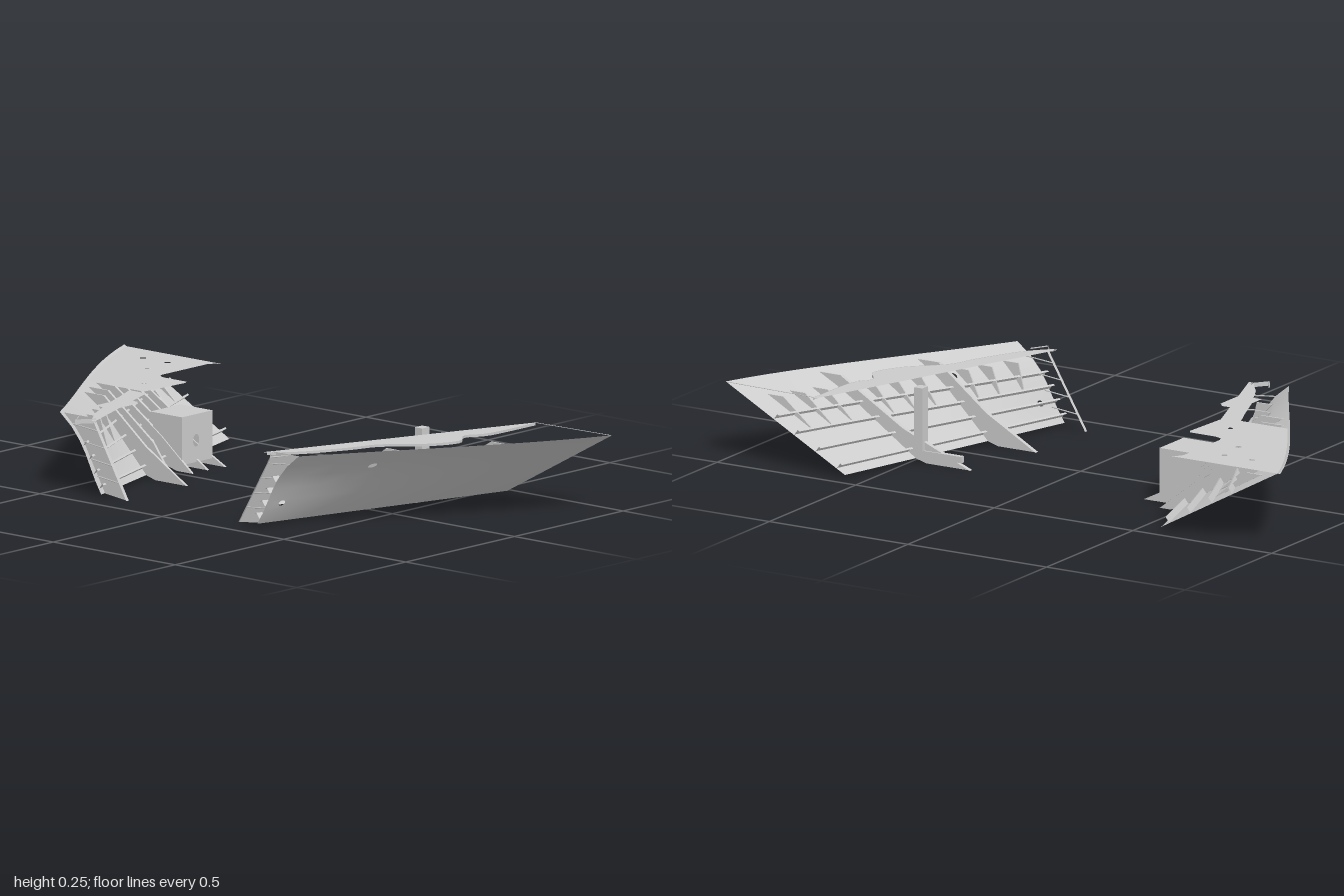
import * as THREE from 'three';
import { mergeGeometries, mergeVertices } from 'three/addons/utils/BufferGeometryUtils.js';

const TOP = 0.245, BOTTOM = 0.01, X0 = -0.42, X1 = 0.45;
const both = new THREE.MeshStandardMaterial({ color: 0xcccccc, side: THREE.DoubleSide });
const single = new THREE.MeshStandardMaterial({ color: 0xcccccc });

// Flared shell: half breadth at a given station and height, hollow towards the narrow end
const along = x => (x - X0) / (X1 - X0);
const topZ = x => 0.49 + 0.51 * along(x) + 0.16 * along(x) ** 2 * (1 - along(x));
const lowZ = x => 0.32 + 0.25 * along(x);
const shellZ = (x, y) => {
  const t = (y - BOTTOM) / (TOP - BOTTOM);
  return THREE.MathUtils.lerp(lowZ(x), topZ(x), t - (1 - along(x)) * t * t * (1 - t));
};
// Inner face of the shell, where the framing lands
const innerZ = (x, y) => shellZ(x, y) - 0.004;

function add(parent, name, geometry, material = both) {
  const mesh = new THREE.Mesh(geometry, material);
  mesh.name = name;
  parent.add(mesh);
  return mesh;
}

function outline(points, holes = []) {
  const shape = new THREE.Shape(points.map(p => new THREE.Vector2(p[0], p[1])));
  for (const [x, y, rx, ry = rx] of holes) {
    shape.holes.push(new THREE.Path().absellipse(x, y, rx, ry, 0, Math.PI * 2, true));
  }
  return new THREE.ShapeGeometry(shape, 8);
}

// Level plate from x,z points and upright plate from z,y points
const levelPlate = (points, y, holes) => outline(points, holes).rotateX(Math.PI / 2).translate(0, y, 0);
const crossPlate = (points, x, s) => outline(points.map(([z, y]) => [z * s, y])).rotateY(-Math.PI / 2).translate(x, 0, 0);
function thickPlate(points, x, s) {
  const shape = new THREE.Shape(points.map(([z, y]) => new THREE.Vector2(z * s, y)));
  return new THREE.ExtrudeGeometry(shape, { depth: 0.005, bevelEnabled: false })
    .rotateY(-Math.PI / 2).translate(x + 0.0025, 0, 0);
}

// Sheet through equally long rows of points
function sheet(rows) {
  const n = rows[0].length, index = [];
  for (let i = 0; i < rows.length - 1; i++) {
    for (let j = 0; j < n - 1; j++) {
      const a = i * n + j, b = a + n;
      index.push(a, b, a + 1, b, b + 1, a + 1);
    }
  }
  const g = new THREE.BufferGeometry();
  g.setAttribute('position', new THREE.Float32BufferAttribute(rows.flat(2), 3));
  g.setIndex(index);
  const flat = g.toNonIndexed();
  flat.computeVertexNormals();
  return flat;
}

function bar(parent, name, a, b, radius) {
  const curve = new THREE.LineCurve3(new THREE.Vector3(...a), new THREE.Vector3(...b));
  add(parent, name, new THREE.TubeGeometry(curve, 1, radius, 4));
}

// Shell plating in small panels, pierced by a few openings
function plating(s) {
  const holes = [[-0.37, 0.075, 0.01, 0.009], [-0.16, 0.185, 0.011, 0.008]];
  if (s < 0) holes.push([0.051, 0.068, 0.024, 0.015], [0.124, 0.068, 0.028, 0.016]);
  const panels = [], w = (X1 - X0) / 12, h = (TOP - BOTTOM) / 6;
  for (let i = 0; i < 12; i++) {
    for (let j = 0; j < 6; j++) {
      const a = X0 + i * w, b = a + w, c = BOTTOM + j * h, d = c + h;
      const own = holes.filter(([x, y]) => x > a && x < b && y > c && y < d);
      panels.push(outline([[a, c], [b, c], [b, d], [a, d]], own));
    }
  }
  let g = mergeGeometries(panels);
  const p = g.attributes.position;
  for (let i = 0; i < p.count; i++) p.setZ(i, s * shellZ(p.getX(i), p.getY(i)));
  g.deleteAttribute('uv');
  g.deleteAttribute('normal');
  g = mergeVertices(g, 1e-5);
  if (s < 0) g.setIndex(Array.from(g.index.array).reverse());
  g.computeVertexNormals();
  return g;
}

function side(s) {
  const g = new THREE.Group();
  g.name = s > 0 ? 'frontSide' : 'backSide';
  add(g, 'shellPlating', plating(s));

  // Lengthwise stringers standing off the shell, with a small flange
  for (const y of [0.028, 0.07, 0.112, 0.152]) {
    const rows = [];
    for (let i = 0; i <= 12; i++) {
      const x = X0 + (X1 - X0) * i / 12, z = innerZ(x, y);
      rows.push([[x, y, s * z], [x, y + 0.016, s * (z - 0.012)], [x, y + 0.012, s * (z - 0.018)]]);
    }
    add(g, 'stringer', sheet(rows));
  }

  // Small triangular brackets on the upper shell
  for (const x of [-0.33, -0.25, -0.18, -0.04, 0.03, 0.1, 0.24, 0.31, 0.38]) {
    add(g, 'bracket', thickPlate([
      [innerZ(x, 0.11), 0.11], [innerZ(x, 0.16), 0.16], [innerZ(x, 0.205), 0.205],
      [innerZ(x, 0.205) - 0.055, 0.205]], x, s));
  }

  // Deep wedge frames, widest at the foot, with a face strip along the free edge
  const frames = s > 0 ? [[-0.115, 0.23], [0.17, 0.29]]
    : [[-0.115, 0.24], [-0.05, 0.36], [0.03, 0.345], [0.1, 0.345], [0.17, 0.335], [0.23, 0.43]];
  const half = s > 0 ? 0.007 : 0.004;
  for (const [x, foot] of frames) {
    const edge = [[foot, 0], [innerZ(x, 0.1) - 0.085, 0.1], [innerZ(x, 0.235) - 0.08, 0.235]];
    const shellEdge = [0.01, 0.09, 0.16, 0.2, 0.235].map(y => [innerZ(x, y), y]);
    add(g, 'deepFrame', thickPlate([...shellEdge, ...edge.slice().reverse(), [lowZ(x) - 0.04, 0]], x, s));
    add(g, 'frameFlange', sheet([-half, half].map(d => edge.map(([z, y]) => [x + d, y, s * z]))));
  }

  // End frame with its sloping edge strip and ties
  const ex = -0.4;
  const endEdge = [0.01, 0.09, 0.16, 0.2, 0.24].map(y => [innerZ(ex, y), y]);
  add(g, 'endFrame', crossPlate([...endEdge, [0.37, 0.24], [0.23, 0]], ex, s), single);
  add(g, 'endFrameFlange', sheet([-0.006, 0.006].map(d => [[ex + d, 0, s * 0.23], [ex + d, 0.24, s * 0.37]])));
  for (const y of [0.05, 0.1, 0.15, 0.2]) {
    bar(g, 'endFrameTie', [ex, y, s * (0.23 + 0.14 * y / 0.24)], [ex, y + 0.01, s * innerZ(ex, y + 0.01)], 0.002);
  }
  // Small projecting arm at the narrow end
  add(g, 'endArm', sheet([[[-0.452, 0.225, s * 0.4], [-0.452, 0.239, s * 0.4]],
    [[-0.4, 0.225, s * 0.36], [-0.4, 0.239, s * 0.36]]]));
  bar(g, 'endArmBrace', [-0.45, 0.235, s * 0.4], [-0.4, 0.235, s * 0.43], 0.002);
  return g;
}

export function createModel() {
  const model = new THREE.Group();
  const front = side(1), back = side(-1);
  model.add(front, back);

  // Front side: shelf with a straight inner and a scalloped outer edge
  const scallop = new THREE.SplineCurve([
    [0.45, 0.685], [0.25, 0.68], [0.17, 0.645], [0.1, 0.685], [0, 0.64], [-0.1, 0.54],
    [-0.2, 0.5], [-0.34, 0.43], [-0.42, 0.36]].map(p => new THREE.Vector2(...p)));
  const outer = scallop.getPoints(40).map(p => [p.x, p.y]);
  add(front, 'scallopedShelf', levelPlate([...outer, [-0.42, 0.345], [0.45, 0.675]], 0.238));
  add(front, 'shelfEdge', sheet([0.231, 0.239].map(y => outer.map(([x, z]) => [x, y, z]))));
  bar(front, 'shelfTie', [0.449, 0.24, 0.68], [0.449, 0.244, 0.995], 0.001);
  // Post and collar on the deep frame
  add(front, 'post', new THREE.BoxGeometry(0.034, 0.2, 0.03)).position.set(0.17, 0.14, 0.47);
  add(front, 'postCollar', new THREE.BoxGeometry(0.016, 0.02, 0.16)).position.set(0.17, 0.03, 0.4);

  // Back side: main deck with notched edge and round openings
  const deckEdge = Array.from({ length: 13 }, (_, i) => {
    const x = -0.01 + (X1 + 0.01) * i / 12;
    return [x, -topZ(x)];
  });
  add(back, 'mainDeck', levelPlate([
    ...deckEdge, [0.45, -0.6], [0.44, -0.62], [0.42, -0.633], [0.21, -0.633], [0.193, -0.625],
    [0.185, -0.6], [0.185, -0.51], [0.17, -0.5], [-0.01, -0.51]], 0.24,
  [[0.355, -0.84, 0.01], [0.355, -0.74, 0.01], [0.25, -0.725, 0.01], [0.08, -0.59, 0.008]]));
  // Narrow forward shelf and its small platform
  add(back, 'forwardShelf', levelPlate([
    [-0.42, -0.345], [-0.01, -0.5], [-0.01, -0.57], [-0.1, -0.53], [-0.2, -0.49], [-0.34, -0.42], [-0.42, -0.36]], 0.236));
  add(back, 'platform', levelPlate([[-0.26, -0.41], [-0.15, -0.41], [-0.13, -0.43], [-0.13, -0.49], [-0.26, -0.49]], 0.239));

  // Boxed trunk below the deck, with an opening in its inner wall
  const lid = 0.17;
  add(back, 'trunkInnerWall', outline([[0.03, 0.02], [0.17, 0.02], [0.17, lid], [0.03, lid]],
    [[0.095, 0.088, 0.014, 0.02]]).translate(0, 0, -0.39));
  add(back, 'trunkLid', levelPlate([[0.03, -0.39], [0.17, -0.39], [0.17, -0.52], [0.03, -0.52]], lid));
  for (const x of [0.03, 0.17]) {
    add(back, 'trunkSideWall', crossPlate([[0.39, 0.02], [0.39, lid], [0.52, lid],
      [innerZ(x, 0.04), 0.04]], x, -1));
  }
  return model;
}
